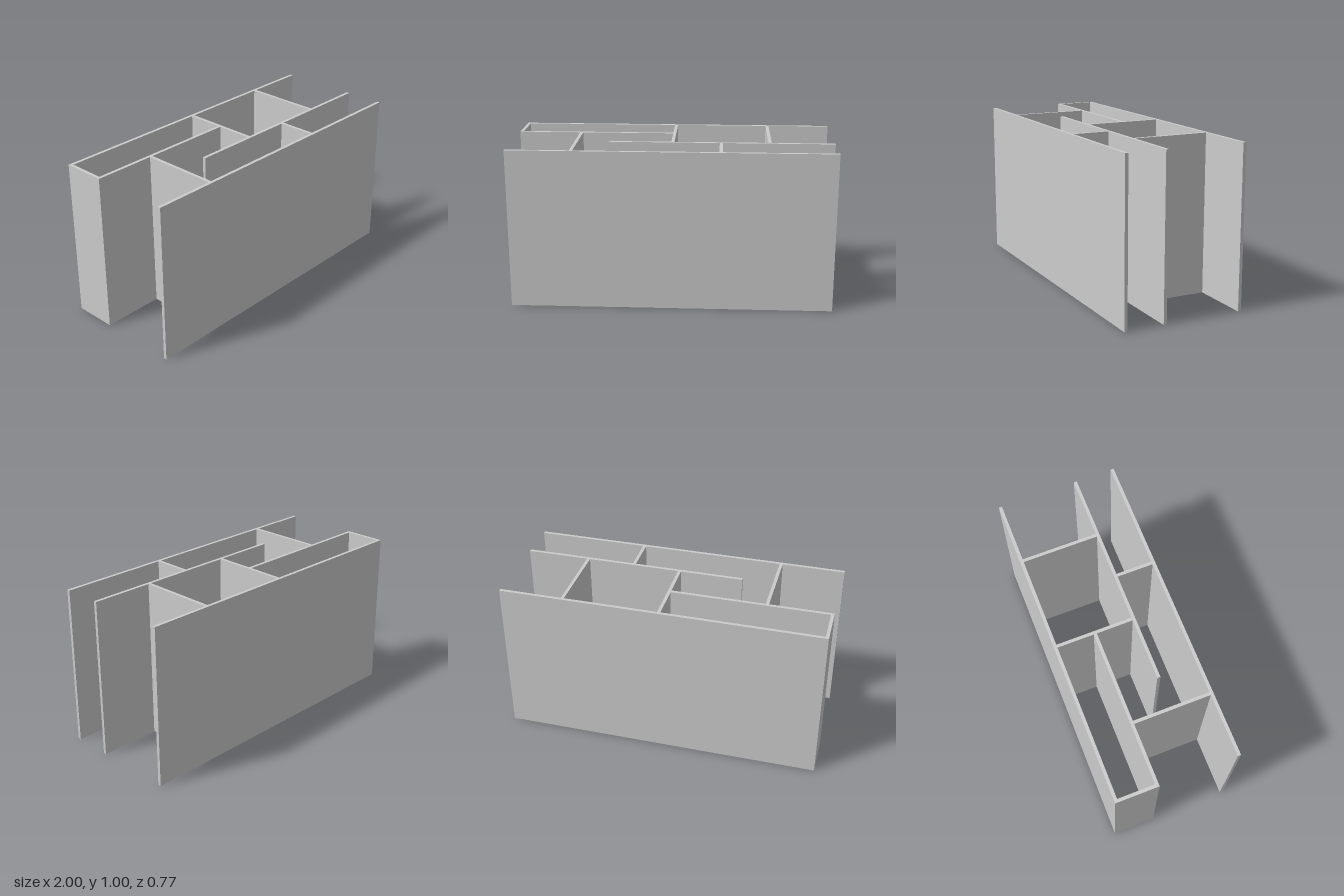
import * as THREE from 'three';

const HEIGHT = 1;
const T = 0.02; // wall thickness

export function createModel() {
  const group = new THREE.Group();
  const material = new THREE.MeshStandardMaterial({ color: 0xcccccc });

  // Full-height upright panel given by its plan extents
  function addWall(name, x0, x1, z0, z1) {
    const wall = new THREE.Mesh(new THREE.BoxGeometry(x1 - x0, HEIGHT, z1 - z0), material);
    wall.position.set((x0 + x1) / 2, HEIGHT / 2, (z0 + z1) / 2);
    wall.name = name;
    group.add(wall);
  }

  // Long walls running along x: name, start, end, centre z
  const longWalls = [
    ['frontWall', -1, 1, 0.375],
    ['innerFrontWall', -0.4, 1, 0.125],
    ['innerBackWall', -1, -T / 2, -0.125],
    ['backWall', -1, 1, -0.375],
  ];
  for (const [name, x0, x1, z] of longWalls) addWall(name, x0, x1, z - T / 2, z + T / 2);

  // Cross walls running along z between the long walls: name, centre x, start, end
  const crossWalls = [
    ['endWall', -0.99, -0.365, -0.135],
    ['frontRightPartition', -0.6, -0.115, 0.365],
    ['centrePartition', 0, -0.365, 0.115],
    ['frontLeftPartition', 0.3, 0.135, 0.365],
    ['backLeftPartition', 0.6, -0.365, 0.115],
  ];
  for (const [name, x, z0, z1] of crossWalls) addWall(name, x - T / 2, x + T / 2, z0, z1);

  return group;
}
